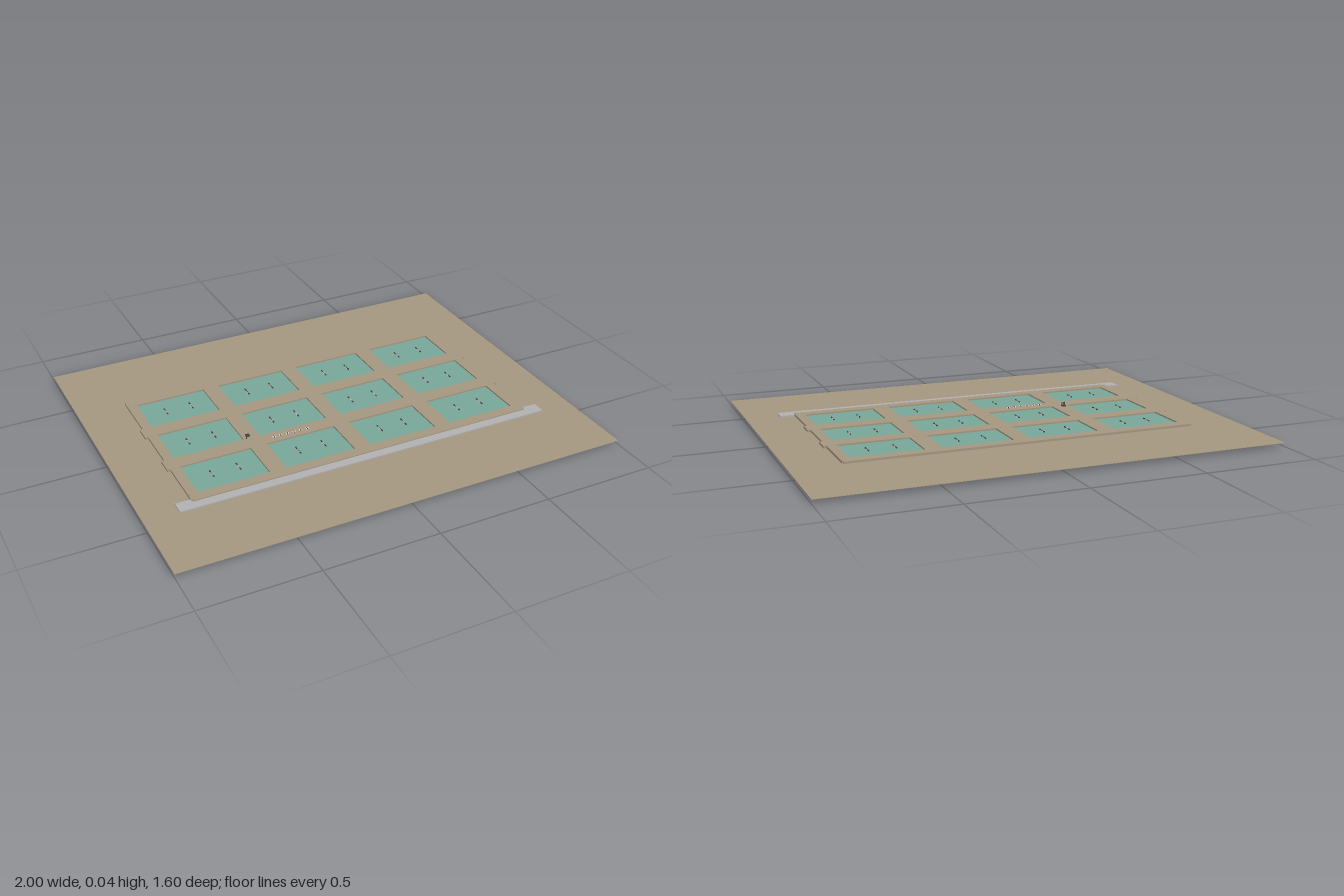
import * as THREE from 'three';

const mat = (color) => new THREE.MeshStandardMaterial({ color, flatShading: true });
const soil = mat(0xa39680);
const water = mat(0x78a698);
const concrete = mat(0xb0b0b0);
const dark = mat(0x45423e);
const pale = mat(0xdedad0);

export function createModel() {
  const model = new THREE.Group();

  // Box given by its centre in x and z, its bottom and its top
  function box(name, material, x, z, w, d, y0, y1, parent = model) {
    const mesh = new THREE.Mesh(new THREE.BoxGeometry(w, y1 - y0, d), material);
    mesh.position.set(x, (y0 + y1) / 2, z);
    mesh.name = name;
    parent.add(mesh);
    return mesh;
  }

  const GROUND = 0.018, WATER = 0.021, DIKE = 0.028;
  box('ground', soil, 0, 0, 2, 1.6, GROUND - 0.002, GROUND);

  // Floating paddle aerator: axle, float and a wheel at each end
  function aerator(x, z) {
    const g = new THREE.Group();
    g.name = 'aerator';
    g.position.set(x, WATER, z);
    box('aeratorFloat', pale, 0, 0, 0.006, 0.022, 0, 0.003, g);
    box('aeratorAxle', dark, 0, 0, 0.002, 0.05, 0.002, 0.004, g);
    for (const s of [-1, 1]) {
      const wheel = new THREE.Mesh(new THREE.CylinderGeometry(0.003, 0.003, 0.009, 8), dark);
      wheel.rotation.x = Math.PI / 2;
      wheel.position.set(0, 0.003, s * 0.02);
      wheel.name = 'paddleWheel';
      g.add(wheel);
    }
    model.add(g);
  }

  // Twelve ponds: sunken basin, water surface and two aerators each
  for (const x of [-0.583, -0.194, 0.194, 0.583]) {
    for (const z of [-0.27, 0, 0.27]) {
      box('pondBasin', soil, x, z, 0.342, 0.22, 0, GROUND - 0.001);
      box('pondWater', water, x, z, 0.33, 0.21, GROUND, WATER);
      for (const s of [-1, 1]) aerator(x + s * 0.059, z);
    }
  }

  // Dikes along x, then along z
  for (const z of [-0.395, -0.135, 0.135, 0.395]) {
    const outer = Math.abs(z) > 0.3;
    box('longDike', soil, 0, z, outer ? 1.56 : 1.594, outer ? 0.048 : 0.072, GROUND, DIKE);
  }
  for (const x of [-0.763, -0.39, 0, 0.39, 0.763]) {
    const outer = Math.abs(x) > 0.7;
    box('crossDike', soil, x, 0, outer ? 0.042 : 0.074, 0.82, GROUND, DIKE - 0.0005);
  }

  // Road in front of the ponds
  box('road', concrete, 0, 0.43, 1.7, 0.06, GROUND, 0.024);

  // Row of small sacks on a dike
  for (let i = 0; i < 6; i++) {
    const x = -0.305 + i * 0.031;
    box('sack', pale, x, 0.14, 0.014, 0.008, DIKE, DIKE + 0.005);
    box('sackStrap', dark, x, 0.14, 0.004, 0.009, DIKE, DIKE + 0.0055);
  }

  // Small control post with cabinet
  box('cabinet', dark, -0.402, 0.08, 0.016, 0.016, DIKE, DIKE + 0.006);
  box('post', dark, -0.414, 0.098, 0.004, 0.004, DIKE, 0.043);
  box('postArm', dark, -0.406, 0.098, 0.018, 0.003, 0.037, 0.04);

  return model;
}
